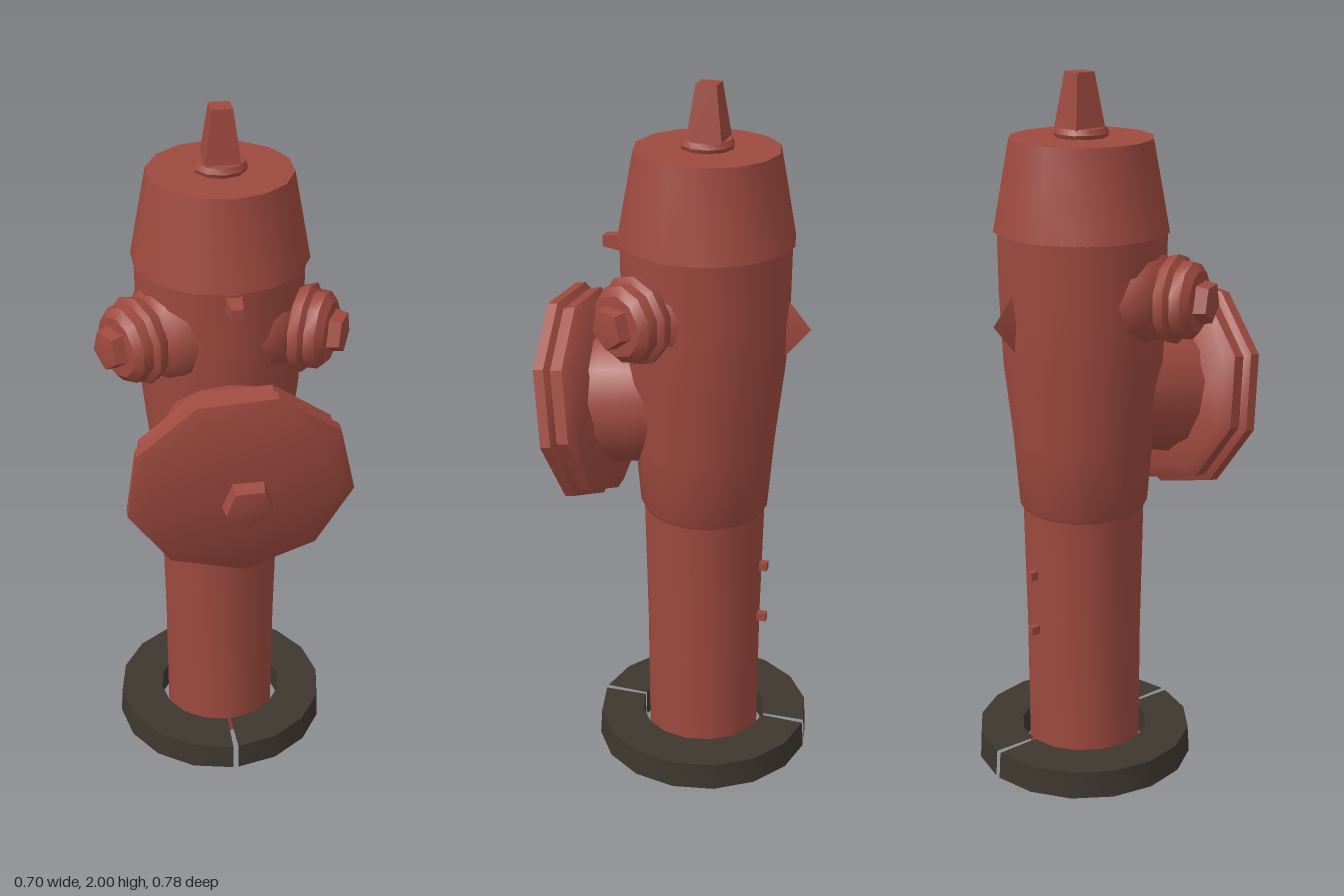
import * as THREE from 'three';
import { toCreasedNormals } from 'three/addons/utils/BufferGeometryUtils.js';

const red = new THREE.MeshStandardMaterial({ color: 0x9e4a3f });
red.name = 'hydrant red';
const dark = new THREE.MeshStandardMaterial({ color: 0x3e372f });
dark.name = 'dark base';

// Named mesh whose normals are smooth except across sharp edges
function part(name, geometry, material = red, crease = 0.65) {
  const mesh = new THREE.Mesh(toCreasedNormals(geometry, crease), material);
  mesh.name = name;
  return mesh;
}

// Turned shape from [radius, height] pairs, bottom to top
function turned(points, sides, start = 0, sweep = Math.PI * 2) {
  return new THREE.LatheGeometry(points.map(([r, y]) => new THREE.Vector2(r, y)), sides, start, sweep);
}

// Turned shape lying along +z
const turnedForward = (points, sides) => turned(points, sides).rotateX(Math.PI / 2);

export function createModel() {
  const hydrant = new THREE.Group();
  hydrant.name = 'hydrant';

  // Upright column, slightly behind the centre
  const column = new THREE.Group();
  column.name = 'column';
  column.position.set(0.013, 0, -0.077);
  hydrant.add(column);

  // Base ring in two halves with a narrow joint at front and back
  for (const [start, name] of [[0.025, 'leftBaseHalf'], [Math.PI + 0.025, 'rightBaseHalf']]) {
    column.add(part(name, turned(
      [[0.185, 0], [0.317, 0], [0.312, 0.08], [0.185, 0.08], [0.185, 0]], 8, start, Math.PI - 0.05), dark));
  }
  column.add(part('lowerPipe', turned(
    [[0, 0.01], [0.164, 0.01], [0.166, 0.4], [0.174, 0.8]], 16)));
  column.add(part('barrel', turned(
    [[0.165, 0.765], [0.184, 0.8], [0.2, 1.0], [0.225, 1.22], [0.233, 1.4], [0.235, 1.585]], 16)));
  column.add(part('bonnet', turned(
    [[0.225, 1.575], [0.244, 1.58], [0.222, 1.7], [0.198, 1.828], [0, 1.83]], 14)));
  column.add(part('topFlange', turned(
    [[0.07, 1.828], [0.075, 1.84], [0.068, 1.855], [0, 1.857]], 10)));

  // Square operating nut
  const nut = part('topNut', new THREE.CylinderGeometry(0.04, 0.069, 0.148, 4));
  nut.rotation.y = Math.PI / 4;
  nut.position.set(0.002, 1.926, -0.004);
  column.add(nut);

  // Large front outlet, tipped slightly downwards
  const outlet = new THREE.Group();
  outlet.name = 'frontOutlet';
  outlet.position.set(0.01, 1.08, 0.285);
  outlet.rotation.x = 0.16;
  hydrant.add(outlet);
  outlet.add(part('frontNeck', turnedForward(
    [[0.165, -0.32], [0.175, -0.25], [0.2, -0.17], [0.2, -0.11], [0.21, -0.08]], 14)));
  outlet.add(part('frontCap', turnedForward(
    [[0.19, -0.1], [0.27, -0.078], [0.298, -0.055], [0.295, -0.02], [0.314, -0.008], [0.314, 0.022],
      [0.265, 0.043], [0.07, 0.056], [0, 0.056]], 9).rotateZ(0.06)));
  const frontNut = part('frontNut', turnedForward(
    [[0.074, 0.04], [0.066, 0.095], [0, 0.108]], 5));
  frontNut.position.set(0.012, -0.01, 0);
  outlet.add(frontNut);

  // Mirrored pair of small hose outlets
  for (const [side, name] of [[1, 'left'], [-1, 'right']]) {
    const hose = new THREE.Group();
    hose.name = name + 'Outlet';
    hose.position.set(side === 1 ? -0.01 : 0.01, 1.41, -0.075);
    hose.rotation.y = side * 1.08;
    hydrant.add(hose);
    hose.add(part(name + 'Collar', turnedForward(
      [[0.155, 0.15], [0.142, 0.195], [0.115, 0.23], [0.09, 0.245], [0.09, 0.27]], 12)));
    hose.add(part(name + 'Cap', turnedForward(
      [[0.08, 0.24], [0.115, 0.25], [0.124, 0.28], [0.108, 0.292], [0.107, 0.322],
        [0.085, 0.342], [0, 0.348]], 10)));
    hose.add(part(name + 'Nut', turnedForward(
      [[0.064, 0.335], [0.056, 0.378], [0, 0.387]], 5)));
  }

  // Small wedge under the bonnet at the front
  const wedge = part('frontLug', new THREE.CylinderGeometry(0.022, 0.036, 0.09, 4).rotateY(Math.PI / 4));
  wedge.rotation.x = Math.PI / 2;
  wedge.position.set(0.013, 1.547, 0.17);
  hydrant.add(wedge);

  // Thin pointed fin at the back
  const fin = part('backFin', new THREE.ConeGeometry(0.09, 0.075, 4).scale(0.14, 1, 1));
  fin.rotation.x = -Math.PI / 2;
  fin.position.set(0.015, 1.35, -0.335);
  hydrant.add(fin);

  // Small stubs on the rear seam of the lower pipe
  for (const y of [0.43, 0.6]) {
    const stub = part('rearStub', new THREE.BoxGeometry(0.02, 0.025, 0.04));
    stub.position.set(0.015, y, -0.248);
    hydrant.add(stub);
  }

  return hydrant;
}
